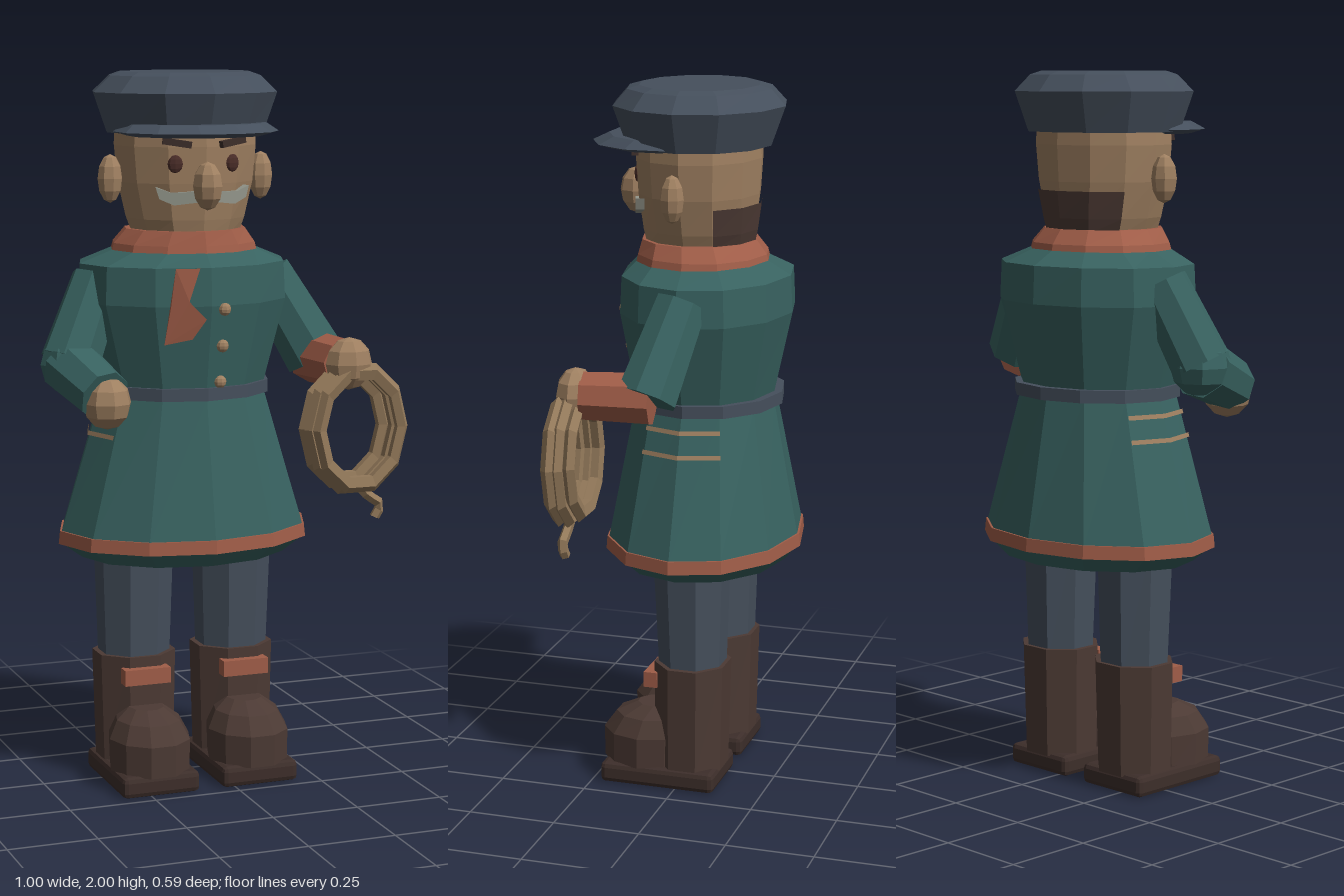
import * as THREE from 'three';
import { RoundedBoxGeometry } from 'three/addons/geometries/RoundedBoxGeometry.js';

const paint = (name, color, side = THREE.FrontSide) => {
  const m = new THREE.MeshStandardMaterial({ color, flatShading: true, side });
  m.name = name;
  return m;
};

// Polygonal loft through rings [y, rx, rz, centreZ]; partial arcs stay uncapped.
function loft(rings, n = 12, start = 0, sweep = Math.PI * 2) {
  const pos = [], idx = [], closed = sweep > 6.28;
  for (const [y, rx, rz, cz = 0] of rings)
    for (let i = 0; i <= n; i++) {
      const a = start + (i / n) * sweep;
      pos.push(Math.sin(a) * rx, y, cz + Math.cos(a) * rz);
    }
  const w = n + 1;
  for (let r = 0; r < rings.length - 1; r++)
    for (let i = 0; i < n; i++) {
      const a = r * w + i, b = a + w;
      idx.push(a, a + 1, b + 1, a, b + 1, b);
    }
  if (closed) {
    const top = (rings.length - 1) * w;
    for (let i = 1; i < n - 1; i++) idx.push(0, i + 1, i, top, top + i, top + i + 1);
  }
  const g = new THREE.BufferGeometry();
  g.setAttribute('position', new THREE.Float32BufferAttribute(pos, 3));
  g.setIndex(idx);
  g.computeVertexNormals();
  return g;
}

// Ring interpolated at height y, grown outwards by d
function ringAt(rings, y, d) {
  const k = Math.max(1, rings.findIndex(r => r[0] >= y));
  const a = rings[k - 1], b = rings[k], t = (y - a[0]) / (b[0] - a[0]);
  const mix = i => a[i] + (b[i] - a[i]) * t;
  return [y, mix(1) + d, mix(2) + d, mix(3)];
}

// Depth of the front facets of a 12-sided loft at (x, y)
function frontZ(rings, x, y) {
  const [, rx, rz, cz] = ringAt(rings, y, 0);
  const u = Math.abs(x) / rx;
  return cz + rz * (u < 0.5 ? 1 - 0.268 * u : 0.866 - (u - 0.5));
}

export function createModel() {
  const root = new THREE.Group();
  root.name = 'figure';
  const teal = paint('coat teal', 0x386260), navy = paint('navy cloth', 0x454f5c);
  const rust = paint('rust trim', 0xa05d48, THREE.DoubleSide), skin = paint('skin', 0x9f8061);
  const brown = paint('boot brown', 0x4c3a34), dark = paint('sole brown', 0x3d2e2a);
  const grey = paint('moustache grey', 0x92958a), eyeM = paint('eye brown', 0x4a2d28);
  const ropeM = paint('rope', 0x93795a);

  const body = new THREE.Group();
  body.name = 'body';
  body.position.x = -0.073;
  root.add(body);
  const add = (name, geo, mat, p = [0, 0, 0], parent = body) => {
    const m = new THREE.Mesh(geo, mat);
    m.name = name;
    m.position.set(...p);
    parent.add(m);
    return m;
  };
  const ball = (name, mat, p, s, parent = body) => {
    const m = add(name, new THREE.SphereGeometry(1, 8, 6), mat, p, parent);
    m.scale.set(...s);
    return m;
  };

  // Coat, hem band, belt and collar
  const coat = [
    [0.645, 0.3, 0.235, -0.02], [0.69, 0.362, 0.272, -0.02], [0.72, 0.362, 0.272, -0.02],
    [1.11, 0.24, 0.2, -0.02], [1.14, 0.24, 0.2, -0.02], [1.37, 0.305, 0.245, -0.025],
    [1.475, 0.3, 0.24, -0.025], [1.515, 0.2, 0.185, -0.01]];
  add('coat', loft(coat), teal);
  add('hemBand', loft([[0.688, 0.37, 0.28, -0.02], [0.725, 0.366, 0.277, -0.02]]), rust);
  add('belt', loft([[1.105, 0.252, 0.218, -0.025], [1.14, 0.252, 0.218, -0.025]]), navy);
  add('collar', loft([[1.5, 0.213, 0.192, -0.01], [1.53, 0.205, 0.185, -0.01], [1.57, 0.172, 0.165, 0]]), rust);

  // Pocket seams on both sides
  for (const s of [1, -1])
    for (const y of [1.065, 1.0])
      add('pocketSeam', loft([ringAt(coat, y - 0.006, 0.007), ringAt(coat, y + 0.006, 0.007)], 2,
        s * Math.PI / 2 - Math.PI / 6, Math.PI / 3), skin);

  // Scarf tail lying on the chest
  const tail = new THREE.ShapeGeometry(new THREE.Shape([
    [-0.1, 1.475], [-0.115, 1.37], [-0.127, 1.265], [-0.052, 1.28], [-0.017, 1.335],
    [-0.065, 1.385], [-0.035, 1.475]].map(p => new THREE.Vector2(...p))));
  const tp = tail.attributes.position;
  for (let i = 0; i < tp.count; i++) tp.setZ(i, frontZ(coat, tp.getX(i), tp.getY(i)) + 0.014);
  add('scarfTail', tail, rust);
  for (const y of [1.36, 1.257, 1.155])
    ball('button', skin, [0.04, y, frontZ(coat, 0.04, y) + 0.004], [0.018, 0.018, 0.014]);

  // Head and hair
  const head = [[1.55, 0.15, 0.15, 0], [1.6, 0.17, 0.16, 0], [1.7, 0.195, 0.172, 0],
    [1.8, 0.205, 0.178, 0], [1.87, 0.2, 0.175, 0]];
  add('head', loft(head), skin);
  add('hair', loft([1.56, 1.6, 1.675].map(y => ringAt(head, y, 0.008)), 4, Math.PI * 2 / 3, Math.PI * 2 / 3), brown);
  ball('nose', skin, [0, 1.695, 0.185], [0.042, 0.066, 0.05]);

  // Paired face parts
  const whisker = new THREE.ExtrudeGeometry(new THREE.Shape([
    [0, 0.02], [0.06, 0.013], [0.095, 0.013], [0.135, 0.027], [0.125, -0.005], [0.085, -0.022], [0, -0.012]]
    .map(p => new THREE.Vector2(...p))), { depth: 0.025, bevelEnabled: false });
  for (const s of [1, -1]) {
    ball('ear', skin, [s * 0.222, 1.71, 0.012], [0.036, 0.067, 0.034]);
    ball('eye', eyeM, [s * 0.083, 1.755, frontZ(head, 0.083, 1.755)], [0.021, 0.025, 0.009]).rotation.y = s * 0.25;
    const brow = add('eyebrow', new THREE.BoxGeometry(0.08, 0.018, 0.02), dark, [s * 0.08, 1.812, 0.163]);
    brow.rotation.set(0, s * 0.3, s * 0.15);
    const w = add('moustache', whisker, grey, [0, 1.665, 0.165]);
    w.scale.x = s;
    w.rotation.y = s * 0.33;
  }

  // Cap
  add('cap', loft([[1.835, 0.225, 0.205], [1.945, 0.263, 0.245], [1.99, 0.215, 0.205], [2, 0.187, 0.17]]), navy);
  add('visor', loft([[1.828, 0.19, 0.17, 0.095], [1.84, 0.23, 0.207, 0.095], [1.862, 0.2, 0.17, 0.085]], 12, Math.PI / 12), navy);

  // Legs and boots
  for (const s of [1, -1]) {
    const leg = new THREE.Group();
    leg.name = s > 0 ? 'leftLeg' : 'rightLeg';
    leg.position.x = s * 0.148;
    body.add(leg);
    const put = (name, geo, mat, p) => add(name, geo, mat, p, leg);
    const e = Math.PI / 8;
    put('trouserLeg', loft([[0.33, 0.102, 0.096, -0.025], [0.72, 0.115, 0.112, -0.022]], 8, e), navy);
    put('bootShaft', loft([[0.05, 0.112, 0.105, -0.022], [0.365, 0.12, 0.11, -0.025]], 8, e), brown);
    put('toe', loft([[0.055, 0.115, 0.128, 0.11], [0.145, 0.117, 0.132, 0.108],
      [0.195, 0.092, 0.105, 0.098], [0.225, 0.05, 0.06, 0.08]], 10, Math.PI / 10), brown);
    put('sole', new RoundedBoxGeometry(0.228, 0.06, 0.34, 1, 0.015), dark, [0, 0.03, 0.053]);
    put('strap', new THREE.BoxGeometry(0.135, 0.045, 0.04), rust, [0, 0.313, 0.083]);
  }

  // Arms
  const limb = (name, mat, a, b, ra, rb) => {
    const A = new THREE.Vector3(...a), B = new THREE.Vector3(...b), d = B.clone().sub(A);
    const m = add(name, new THREE.CylinderGeometry(rb, ra, d.length(), 8), mat,
      A.clone().add(B).multiplyScalar(0.5).toArray(), root);
    m.quaternion.setFromUnitVectors(new THREE.Vector3(0, 1, 0), d.normalize());
  };
  limb('rightSleeve', teal, [-0.32, 1.43, -0.025], [-0.42, 1.21, 0.03], 0.075, 0.085);
  ball('rightElbow', teal, [-0.42, 1.205, 0.03], [0.085, 0.085, 0.085], root);
  limb('rightForearm', teal, [-0.42, 1.2, 0.03], [-0.375, 1.135, 0.2], 0.085, 0.075);
  ball('rightHand', skin, [-0.367, 1.117, 0.195], [0.068, 0.073, 0.068], root);
  limb('leftSleeve', teal, [0.18, 1.43, -0.025], [0.31, 1.19, 0.035], 0.075, 0.088);
  limb('leftForearm', rust, [0.305, 1.19, 0.02], [0.328, 1.19, 0.21], 0.075, 0.07);
  ball('leftHand', skin, [0.33, 1.195, 0.23], [0.07, 0.074, 0.055], root);

  // Coiled rope with a loose end
  [[0.325, 0.212, 0.118], [0.343, 0.237, 0.128], [0.355, 0.259, 0.124]].forEach(([x, z, r]) => {
    const coil = add('ropeCoil', new THREE.TorusGeometry(r, 0.02, 5, 10), ropeM, [x, 1.015, z], root);
    coil.scale.y = 1.33;
  });
  const end = new THREE.CatmullRomCurve3([[0.35, 0.86, 0.237], [0.385, 0.82, 0.24], [0.425, 0.79, 0.24], [0.41, 0.755, 0.237]]
    .map(p => new THREE.Vector3(...p)));
  add('ropeEnd', new THREE.TubeGeometry(end, 6, 0.015, 5), ropeM, [0, 0, 0], root);
  return root;
}
